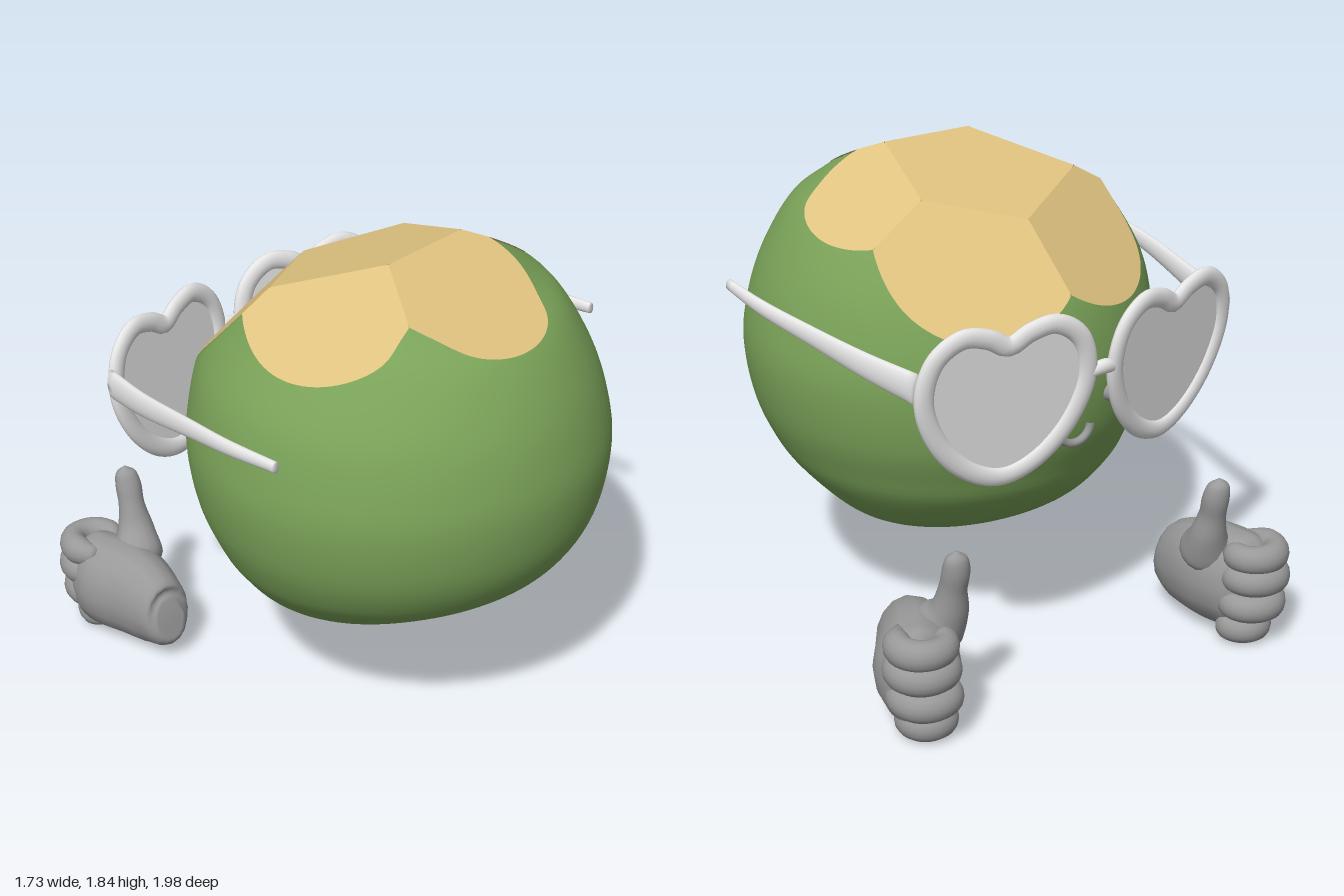
import * as THREE from 'three';
import { mergeVertices } from 'three/addons/utils/BufferGeometryUtils.js';

const V = (x, y, z) => new THREE.Vector3(x, y, z);
const mat = (name, color, side = THREE.FrontSide) => {
  const m = new THREE.MeshStandardMaterial({ color, side });
  m.name = name;
  return m;
};

// Husk cross-sections: y, then left/right x and back/front z limits
const ROWS = [
  [0.392, 0.08, 0.1, 0.09, 0.11], [0.405, -0.15, 0.32, -0.1, 0.4], [0.43, -0.34, 0.43, -0.2, 0.47],
  [0.5, -0.53, 0.53, -0.32, 0.6], [0.63, -0.65, 0.65, -0.44, 0.8], [0.73, -0.71, 0.71, -0.49, 0.9],
  [0.87, -0.765, 0.765, -0.545, 0.97], [1.05, -0.795, 0.795, -0.572, 1.0], [1.2, -0.785, 0.785, -0.567, 0.99],
  [1.4, -0.735, 0.73, -0.52, 0.93], [1.6, -0.615, 0.625, -0.42, 0.81], [1.7, -0.54, 0.53, -0.34, 0.68],
  [1.82, -0.38, 0.35, -0.2, 0.52], [1.95, -0.02, 0.02, 0.18, 0.22],
];
const lo = new THREE.CatmullRomCurve3(ROWS.map(r => V(r[1], r[0], r[3])), false, 'catmullrom');
const hi = new THREE.CatmullRomCurve3(ROWS.map(r => V(r[2], r[0], r[4])), false, 'catmullrom');
const LEVELS = Array.from({ length: 131 }, (_, i) => [lo.getPoint(i / 130), hi.getPoint(i / 130)]);

function insideHusk(p) {
  if (p.y <= LEVELS[0][0].y || p.y >= LEVELS[130][0].y) return false;
  let i = 0;
  while (i < 129 && LEVELS[i + 1][0].y < p.y) i++;
  const t = (p.y - LEVELS[i][0].y) / (LEVELS[i + 1][0].y - LEVELS[i][0].y);
  const a = LEVELS[i][0].clone().lerp(LEVELS[i + 1][0], t);
  const b = LEVELS[i][1].clone().lerp(LEVELS[i + 1][1], t);
  const x = (2 * p.x - a.x - b.x) / (b.x - a.x);
  const z = (2 * p.z - a.z - b.z) / (b.z - a.z);
  return x * x + z * z < 1;
}

// Farthest point from an inner origin along a direction that passes the test
function reach(origin, dir, test) {
  let near = 0, far = 2;
  for (let i = 0; i < 24; i++) {
    const mid = (near + far) / 2;
    if (test(origin.clone().addScaledVector(dir, mid))) near = mid; else far = mid;
  }
  return origin.clone().addScaledVector(dir, near);
}

// Knife cuts: a pentagon on top and five cuts around it
const PENT = [V(0.24, 1.845, 0.27), V(0.3, 1.726, -0.11), V(-0.04, 1.65, -0.29), V(-0.43, 1.722, 0), V(-0.15, 1.84, 0.32)];
const OUTER = [V(0.62, 1.57, 0), V(0.1, 1.32, -0.53), V(-0.09, 1.395, -0.53), V(-0.62, 1.565, 0.3), V(0.05, 1.615, 0.79)];
function makeCut(a, b, c, center) {
  const plane = new THREE.Plane().setFromCoplanarPoints(a, b, c);
  if (plane.normal.y < 0) plane.negate();
  return { plane, center: plane.projectPoint(center, V(0, 0, 0)) };
}
const mean = pts => pts.reduce((s, p) => s.add(p), V(0, 0, 0)).divideScalar(pts.length);
const CUTS = [makeCut(PENT[0], PENT[4], PENT[2], mean(PENT))];
OUTER.forEach((q, i) => {
  const a = PENT[i], b = PENT[(i + 1) % 5];
  CUTS.push(makeCut(a, b, q, mean([a, b, q])));
});

function huskGeometry() {
  let g = new THREE.SphereGeometry(1, 120, 84);
  g.deleteAttribute('uv');
  g.deleteAttribute('normal');
  g = mergeVertices(g, 1e-5);
  const core = V(0, 1.1, 0.2), pos = g.attributes.position;
  for (let i = 0; i < pos.count; i++) {
    const p = reach(core, V(0, 0, 0).fromBufferAttribute(pos, i).normalize(), insideHusk);
    pos.setXYZ(i, p.x, p.y, p.z);
  }
  g.computeVertexNormals();
  // Sink the top under the cuts, keeping the rounded normals
  for (let i = 0; i < pos.count; i++) {
    const p = V(0, 0, 0).fromBufferAttribute(pos, i), dir = p.clone().sub(core);
    let k = 1;
    for (const { plane } of CUTS) {
      const slope = plane.normal.dot(dir);
      if (slope > 0) k = Math.min(k, (-0.005 - plane.distanceToPoint(core)) / slope);
    }
    p.copy(core).addScaledVector(dir, k);
    pos.setXYZ(i, p.x, p.y, p.z);
  }
  return g;
}

// Flat fan filling one cut out to the husk and neighbouring cuts
function cutGeometry(cut) {
  const n = cut.plane.normal, N = 180;
  const u = V(1, 0, 0).projectOnPlane(n).normalize(), v = n.clone().cross(u);
  const test = p => insideHusk(p) && CUTS.every(c => c === cut || c.plane.distanceToPoint(p) < 1e-5);
  const pts = [cut.center], index = [];
  for (let i = 0; i < N; i++) {
    const a = i / N * Math.PI * 2;
    pts.push(reach(cut.center, u.clone().multiplyScalar(Math.cos(a)).addScaledVector(v, Math.sin(a)), test));
    index.push(0, i + 1, (i + 1) % N + 1);
  }
  const g = new THREE.BufferGeometry().setFromPoints(pts);
  g.setIndex(index);
  g.computeVertexNormals();
  return g;
}

// Smooth limb through [x, y, z, half thickness, half height] sections
function loft(sections, up, steps = 28, sides = 16) {
  const path = new THREE.CatmullRomCurve3(sections.map(s => V(s[0], s[1], s[2])));
  const size = new THREE.CatmullRomCurve3(sections.map(s => V(s[3], s[4], 0)), false, 'catmullrom');
  const verts = [], index = [];
  for (let i = 0; i <= steps; i++) {
    const c = path.getPoint(i / steps), r = size.getPoint(i / steps), T = path.getTangent(i / steps);
    const S = T.clone().cross(up).normalize(), U = S.clone().cross(T);
    for (let j = 0; j < sides; j++) {
      const a = j / sides * Math.PI * 2;
      const p = c.clone().addScaledVector(S, Math.cos(a) * r.x).addScaledVector(U, Math.sin(a) * r.y);
      verts.push(p.x, p.y, p.z);
      if (i === steps) continue;
      const k = i * sides + j, l = i * sides + (j + 1) % sides;
      index.push(k, k + sides, l, l, k + sides, l + sides);
    }
  }
  // Close both ends
  for (let j = 1; j < sides - 1; j++) {
    const e = steps * sides;
    index.push(0, j, j + 1, e, e + j + 1, e + j);
  }
  // Turn the faces outward if the ring order runs inward
  const g = new THREE.BufferGeometry();
  g.setAttribute('position', new THREE.Float32BufferAttribute(verts, 3));
  let volume = 0;
  const at = i => V(verts[3 * i], verts[3 * i + 1], verts[3 * i + 2]);
  for (let i = 0; i < index.length; i += 3) volume += at(index[i]).dot(at(index[i + 1]).cross(at(index[i + 2])));
  g.setIndex(volume < 0 ? index.reverse() : index);
  g.computeVertexNormals();
  return g;
}

export function createModel() {
  const model = new THREE.Group();
  model.name = 'coconut';
  const green = mat('huskGreen', 0x7ba359), tan = mat('fleshTan', 0xdfc280, THREE.DoubleSide);
  const white = mat('glassesWhite', 0xe8e8e8), grey = mat('handGrey', 0x999999);
  const add = (parent, name, geometry, material) => {
    const m = new THREE.Mesh(geometry, material);
    m.name = name;
    parent.add(m);
    return m;
  };
  const group = (name) => {
    const g = new THREE.Group();
    g.name = name;
    model.add(g);
    return g;
  };
  const Y = V(0, 1, 0), Z = V(0, 0, 1);

  add(model, 'husk', huskGeometry(), green);
  CUTS.forEach(c => add(model, 'cutFlesh', cutGeometry(c), tan));

  // Heart-shaped glasses
  const glasses = group('glasses');
  const half = [[0.08, 0.265], [0.18, 0.282], [0.28, 0.215], [0.318, 0.07], [0.255, -0.11], [0.13, -0.24]];
  const outline = [[0, 0.225], ...half, [0, -0.285], ...half.map(([x, y]) => [-x, y]).reverse()];
  const heart = new THREE.CatmullRomCurve3(outline.map(([x, y]) => V(x, y, 0)), true);
  const heartShape = new THREE.Shape(heart.getPoints(80).map(p => new THREE.Vector2(p.x, p.y)));
  const lens = new THREE.ExtrudeGeometry(heartShape, { depth: 0.008, bevelEnabled: false }).translate(0, 0, -0.004);
  for (const [x, z, turn] of [[-0.455, -0.598, 0.295], [0.285, -0.667, -0.085]]) {
    const eye = new THREE.Group();
    eye.name = 'heartLens';
    eye.position.set(x, 1.13, z);
    eye.rotation.set(-0.1, turn, 0, 'YXZ');
    glasses.add(eye);
    add(eye, 'rim', new THREE.TubeGeometry(heart, 96, 0.038, 12, true), white).scale.z = 0.6;
    add(eye, 'lens', lens, white);
  }
  add(glasses, 'bridge', loft([[-0.17, 1.19, -0.69, 0.02, 0.02], [-0.1, 1.21, -0.708, 0.022, 0.028],
    [-0.02, 1.19, -0.698, 0.02, 0.02]], Y), white);
  add(glasses, 'rightTemple', loft([[-0.785, 1.25, -0.505, 0.022, 0.06], [-0.81, 1.27, -0.28, 0.02, 0.05],
    [-0.835, 1.32, 0.05, 0.018, 0.038], [-0.84, 1.345, 0.28, 0.018, 0.03], [-0.82, 1.365, 0.52, 0.016, 0.022]], Y), white);
  add(glasses, 'leftTemple', loft([[0.63, 1.25, -0.64, 0.022, 0.06], [0.7, 1.275, -0.42, 0.02, 0.05],
    [0.77, 1.31, -0.15, 0.018, 0.038], [0.835, 1.345, 0.13, 0.018, 0.03], [0.855, 1.368, 0.355, 0.016, 0.022]], Y), white);

  // Small smile and cheeks under the glasses
  const face = group('face');
  const smile = add(face, 'smile', new THREE.TorusGeometry(0.07, 0.016, 10, 24, Math.PI), grey);
  smile.rotation.z = Math.PI;
  smile.position.set(-0.08, 0.93, -0.555);
  for (const x of [-0.25, 0.1]) {
    add(face, 'cheek', new THREE.SphereGeometry(0.036, 16, 12), grey).position.set(x, 1.02, x < 0 ? -0.53 : -0.565);
  }

  // Thumbs-up hands, the right one turned further inward
  for (const s of [1, -1]) {
    const hand = group(s > 0 ? 'leftHand' : 'rightHand');
    if (s < 0) {
      hand.position.set(-0.18, 0, 0.106);
      hand.rotation.y = -0.2;
    }
    const limb = (name, sections, up) =>
      add(hand, name, loft(sections.map(([x, ...rest]) => [s * x, ...rest]), up), grey);
    limb('palm', [[0.57, 0.2, -0.395, 0.06, 0.08], [0.575, 0.195, -0.42, 0.1, 0.13], [0.59, 0.205, -0.5, 0.125, 0.175],
      [0.63, 0.225, -0.62, 0.15, 0.2], [0.69, 0.23, -0.74, 0.155, 0.2], [0.725, 0.235, -0.82, 0.11, 0.19],
      [0.735, 0.24, -0.87, 0.02, 0.13]], Y);
    limb('thumb', [[0.59, 0.26, -0.63, 0.03, 0.03], [0.58, 0.34, -0.68, 0.1, 0.1], [0.56, 0.43, -0.735, 0.075, 0.07],
      [0.56, 0.53, -0.765, 0.052, 0.052], [0.56, 0.61, -0.787, 0.052, 0.048], [0.565, 0.665, -0.798, 0.04, 0.034],
      [0.565, 0.69, -0.8, 0.006, 0.006]], Z);
    [[0.375, 0.98, 0], [0.285, 1.05, 0], [0.175, 1.03, -0.01], [0.07, 0.75, -0.03]].forEach(([y, k, dx]) => {
      const bend = [[0.74, -0.7, 0.03], [0.79, -0.77, 0.052], [0.798, -0.83, 0.053], [0.77, -0.88, 0.052],
        [0.715, -0.9, 0.05], [0.655, -0.88, 0.048], [0.63, -0.82, 0.045], [0.65, -0.77, 0.01]];
      limb('finger', bend.map(([x, z, r]) => [0.72 + dx + (x - 0.72) * k, y, -0.74 + (z + 0.74) * k, r, r * 1.12]), Y);
    });
  }
  return model;
}
